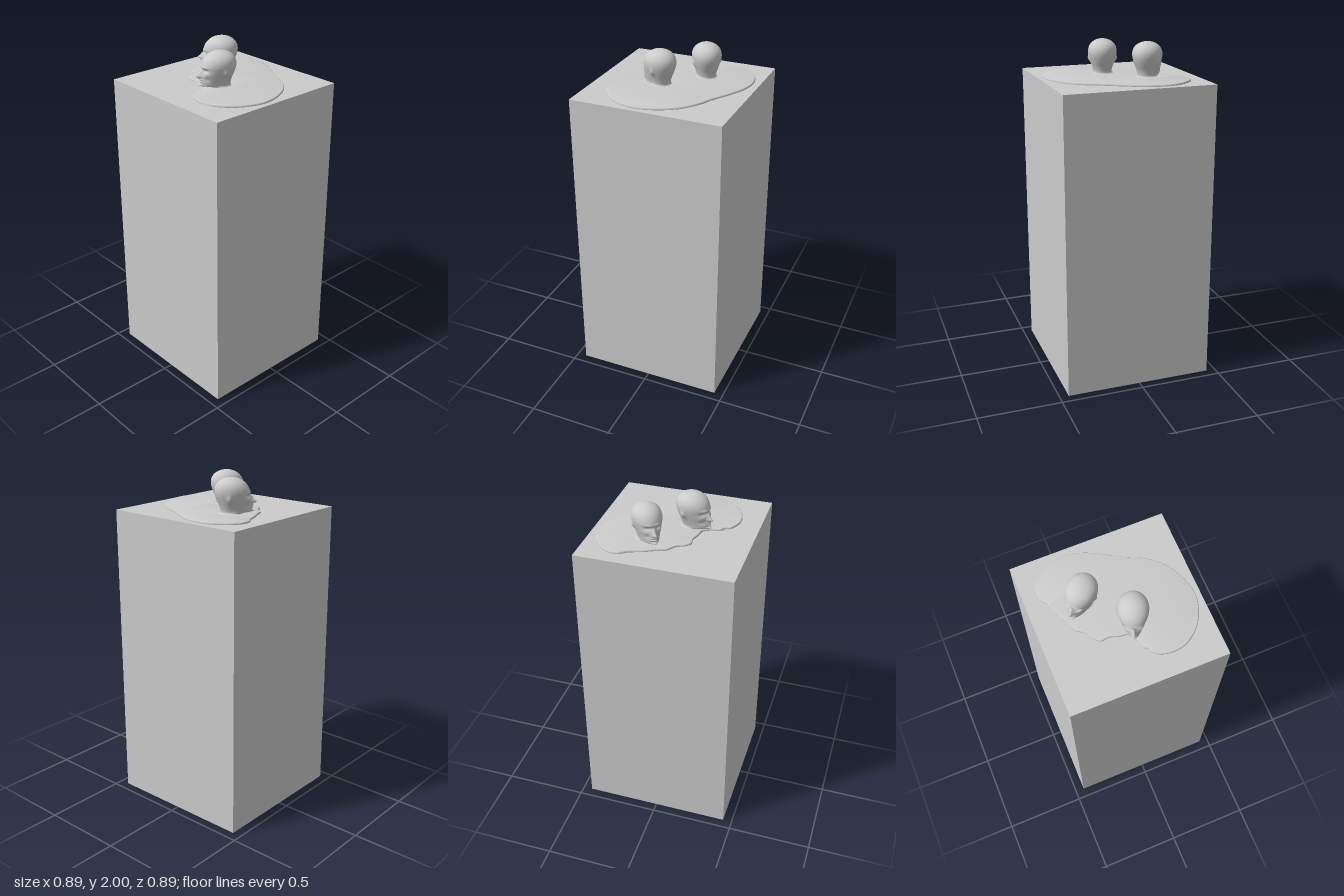
import * as THREE from 'three';
import { mergeVertices, toCreasedNormals } from 'three/addons/utils/BufferGeometryUtils.js';
import { ParametricGeometry } from 'three/addons/geometries/ParametricGeometry.js';

const TOP = 1.79, WIDTH = 0.89;
const material = new THREE.MeshStandardMaterial({ color: 0xcccccc, side: THREE.DoubleSide });
const V2 = (a, b) => new THREE.Vector2(a, b);

// Head sections from neck to crown: height, back, front, half width
const SECTIONS = [
  [-0.004, -0.072, 0.072, 0.072],
  [0.004, -0.06, 0.07, 0.058],
  [0.012, -0.058, 0.115, 0.054],
  [0.025, -0.06, 0.122, 0.056],
  [0.045, -0.066, 0.12, 0.062],
  [0.07, -0.077, 0.115, 0.07],
  [0.1, -0.088, 0.108, 0.079],
  [0.125, -0.092, 0.107, 0.083],
  [0.15, -0.088, 0.097, 0.08],
  [0.172, -0.074, 0.079, 0.068],
  [0.189, -0.05, 0.053, 0.046],
  [0.198, -0.022, 0.024, 0.02],
  [0.2, 0, 0, 0],
];

// Face relief: x, y, spread in x, spread in y, push forward
const FEATURES = [
  [0, 0.066, 0.011, 0.011, 0.026],    // nose tip
  [0, 0.086, 0.008, 0.016, 0.014],    // nose bridge
  [0.028, 0.1, 0.014, 0.009, -0.013], // eye sockets
  [0.028, 0.101, 0.008, 0.005, 0.005],// eyelids
  [0.024, 0.118, 0.02, 0.007, 0.006], // brows
  [0.042, 0.078, 0.014, 0.012, 0.005],// cheekbones
  [0.036, 0.05, 0.012, 0.012, -0.006],// hollow cheeks
  [0, 0.046, 0.018, 0.004, 0.007],    // upper lip
  [0, 0.035, 0.016, 0.004, 0.006],    // lower lip
  [0, 0.0405, 0.018, 0.002, -0.003],  // mouth line
  [0, 0.027, 0.02, 0.004, -0.005],    // dip under the lip
  [0, 0.015, 0.016, 0.007, 0.012],    // chin
];

const bell = (d, spread) => Math.exp(-((d / spread) ** 2));

function headGeometry() {
  const depth = new THREE.SplineCurve(SECTIONS.map(s => V2(s[1], s[2])));
  const side = new THREE.SplineCurve(SECTIONS.map(s => V2(s[3], s[0])));
  const geometry = new ParametricGeometry((u, v, target) => {
    const a = Math.PI * (2 * u + 1);
    const { x: back, y: front } = depth.getPoint(v);
    const { x: w, y } = side.getPoint(v);
    let x = w * Math.sin(a);
    const c = Math.cos(a);
    let z = c > 0 ? front * c : -back * c;
    if (c > 0) {
      for (const [fx, fy, sx, sy, push] of FEATURES) {
        z += push * bell(Math.abs(x) - fx, sx) * bell(y - fy, sy) * Math.min(1, c * 2);
      }
    }
    // Ears swell out of the sides
    x += Math.sign(x) * 0.01 * bell(z + 0.006, 0.013) * bell(y - 0.085, 0.02) * Math.abs(Math.sin(a));
    target.set(x, y, z);
  }, 88, 96);
  geometry.deleteAttribute('uv');
  geometry.deleteAttribute('normal');
  const welded = mergeVertices(geometry, 1e-5);
  welded.computeVertexNormals();
  return welded;
}

// Square plinth, hollow and open underneath
function plinthGeometry() {
  const geometry = new THREE.BoxGeometry(WIDTH, TOP, WIDTH);
  const index = Array.from(geometry.index.array);
  index.splice(18, 6);
  geometry.setIndex(index);
  geometry.clearGroups();
  return geometry.translate(0, TOP / 2, 0);
}

// Thin puddle with a rounded rim, outlined in x and z
function puddleGeometry() {
  const outline = [
    [-0.15, -0.405], [-0.05, -0.385], [0.05, -0.335], [0.15, -0.275], [0.25, -0.225],
    [0.33, -0.155], [0.39, -0.05], [0.415, 0.06], [0.395, 0.16], [0.34, 0.25],
    [0.26, 0.31], [0.18, 0.327], [0.11, 0.312], [0.072, 0.285], [0.065, 0.262],
    [0.038, 0.242], [0.03, 0.2], [0, 0.15], [-0.05, 0.14], [-0.1, 0.125],
    [-0.15, 0.128], [-0.18, 0.1], [-0.2, 0.06], [-0.25, 0.02], [-0.27, -0.03],
    [-0.3, -0.09], [-0.33, -0.17], [-0.363, -0.22], [-0.355, -0.29], [-0.31, -0.345],
    [-0.24, -0.39],
  ].map(([x, z]) => new THREE.Vector3(x, -z, 0));
  const curve = new THREE.CatmullRomCurve3(outline, true);
  const points = curve.getPoints(150).slice(0, -1).map(p => V2(p.x, p.y));
  const geometry = new THREE.ExtrudeGeometry(new THREE.Shape(points), {
    depth: 0.006, bevelThickness: 0.006, bevelSize: 0.007, bevelOffset: -0.007, bevelSegments: 4,
  });
  geometry.rotateX(-Math.PI / 2).translate(0, TOP - 0.001, 0);
  return toCreasedNormals(geometry, 0.8);
}

export function createModel() {
  const group = new THREE.Group();
  const add = (name, geometry) => {
    const mesh = new THREE.Mesh(geometry, material);
    mesh.name = name;
    group.add(mesh);
    return mesh;
  };
  add('plinth', plinthGeometry());
  add('puddle', puddleGeometry());

  // Two heads rising from the puddle, each turned its own way
  const head = headGeometry();
  for (const [name, x, z, turn] of [
    ['rearHead', -0.15, -0.125, -50],
    ['frontHead', 0.053, 0.072, -20],
  ]) {
    const mesh = add(name, head);
    mesh.position.set(x, 1.8, z);
    mesh.rotation.y = THREE.MathUtils.degToRad(turn);
  }
  return group;
}
